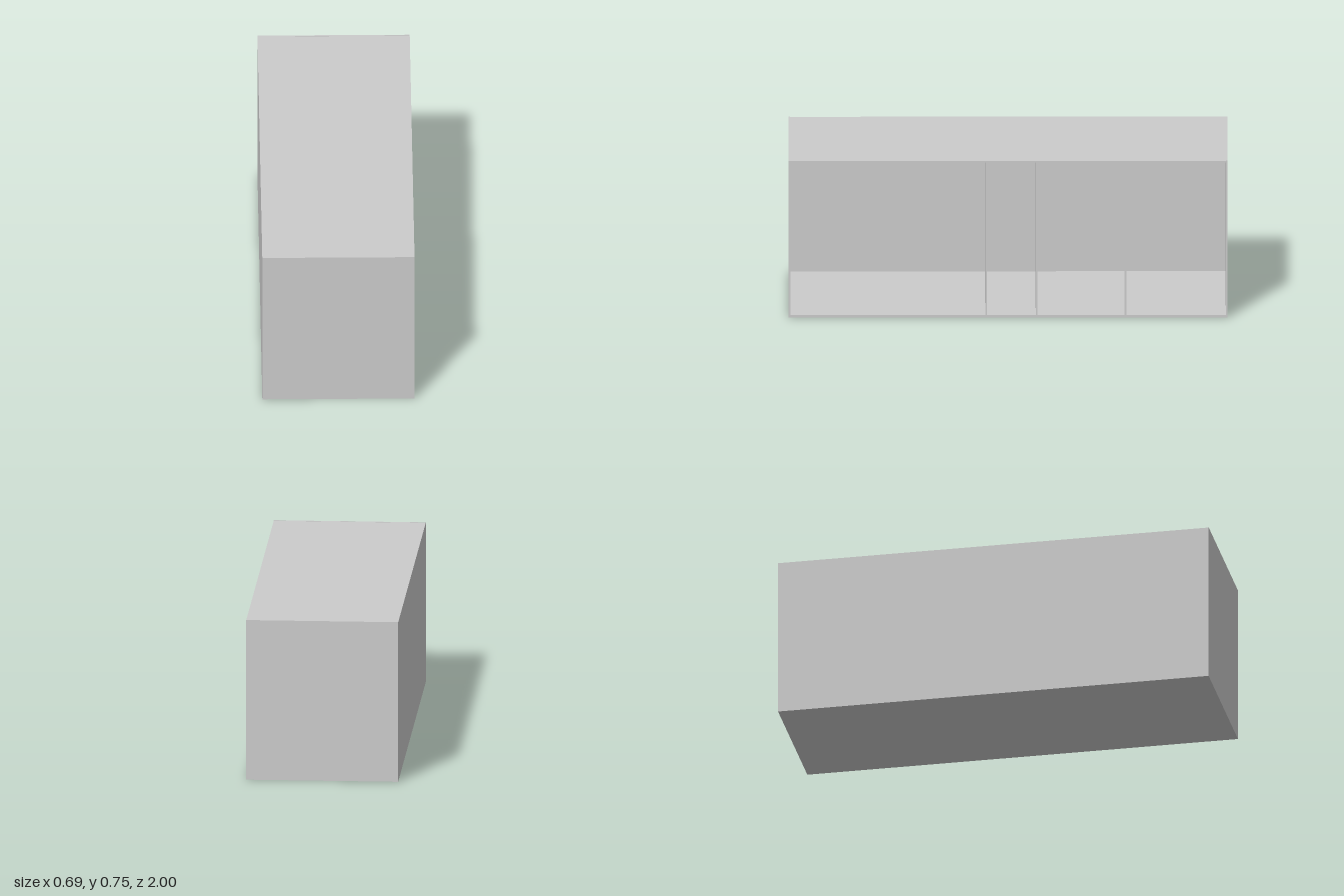
import * as THREE from 'three';

const W = 0.694, H = 0.747, L = 2; // overall x, y, z
const T = 0.008;                   // panel thickness
const BASE = 0.012;                // floor thickness

export function createModel() {
  const group = new THREE.Group();
  const material = new THREE.MeshStandardMaterial({ color: 0xcccccc, flatShading: true });

  const panel = (name, sx, sy, sz, x, y, z) => {
    const mesh = new THREE.Mesh(new THREE.BoxGeometry(sx, sy, sz), material);
    mesh.name = name;
    mesh.position.set(x, y, z);
    group.add(mesh);
  };

  // End walls run the full height
  for (const s of [1, -1]) {
    panel(s > 0 ? 'frontWall' : 'backWall', W, H, T, 0, H / 2, s * (L - T) / 2);
  }

  // Floor and roof sit between the end walls
  const inner = L - 2 * T;
  panel('floor', W, BASE, inner, 0, BASE / 2, 0);
  panel('roof', W, T, inner, 0, H - T / 2 - 0.001, 0);

  // Closed long side; the opposite long side stays open
  const roomH = H - BASE - T - 0.001;
  const midY = BASE + roomH / 2;
  panel('closedSide', T, roomH, inner, -(W - T) / 2, midY, 0);

  // Upright dividers splitting the interior into four bays
  for (const z of [0.1, -0.13, -0.535]) {
    panel('divider', W - T, roomH, T, T / 2, midY, z);
  }
  return group;
}
